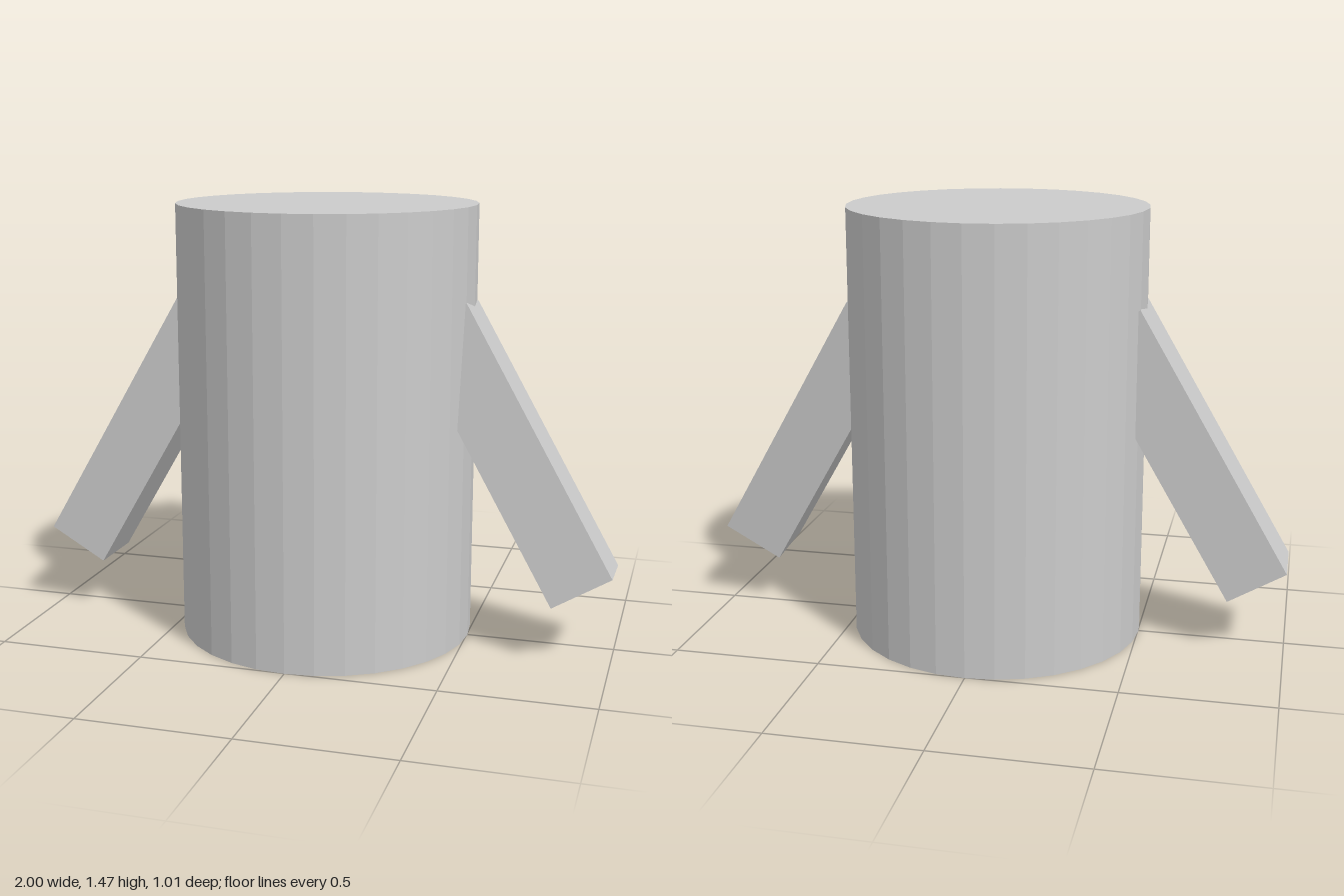
import * as THREE from 'three';

export function createModel() {
  const group = new THREE.Group();
  const material = new THREE.MeshStandardMaterial({ color: 0xcccccc, flatShading: true });

  // Upright faceted body
  const body = new THREE.Mesh(new THREE.CylinderGeometry(0.503, 0.503, 1.47, 32), material);
  body.name = 'body';
  body.position.y = 0.735;
  group.add(body);

  // Square arms, each placed by the centre of its lower end and leaning in to the body
  const armGeometry = new THREE.BoxGeometry(0.222, 1, 0.222).translate(0, 0.5, 0);
  const addArm = (name, position, tiltX, tiltZ) => {
    const arm = new THREE.Mesh(armGeometry, material);
    arm.name = name;
    arm.position.set(...position);
    arm.rotation.set(tiltX, 0, tiltZ);
    group.add(arm);
  };
  addArm('rightArm', [-0.904, 0.237, -0.005], 0, -0.53);
  addArm('leftArm', [0.904, 0.24, 0.08], -0.095, 0.53); // swung slightly forward

  return group;
}
